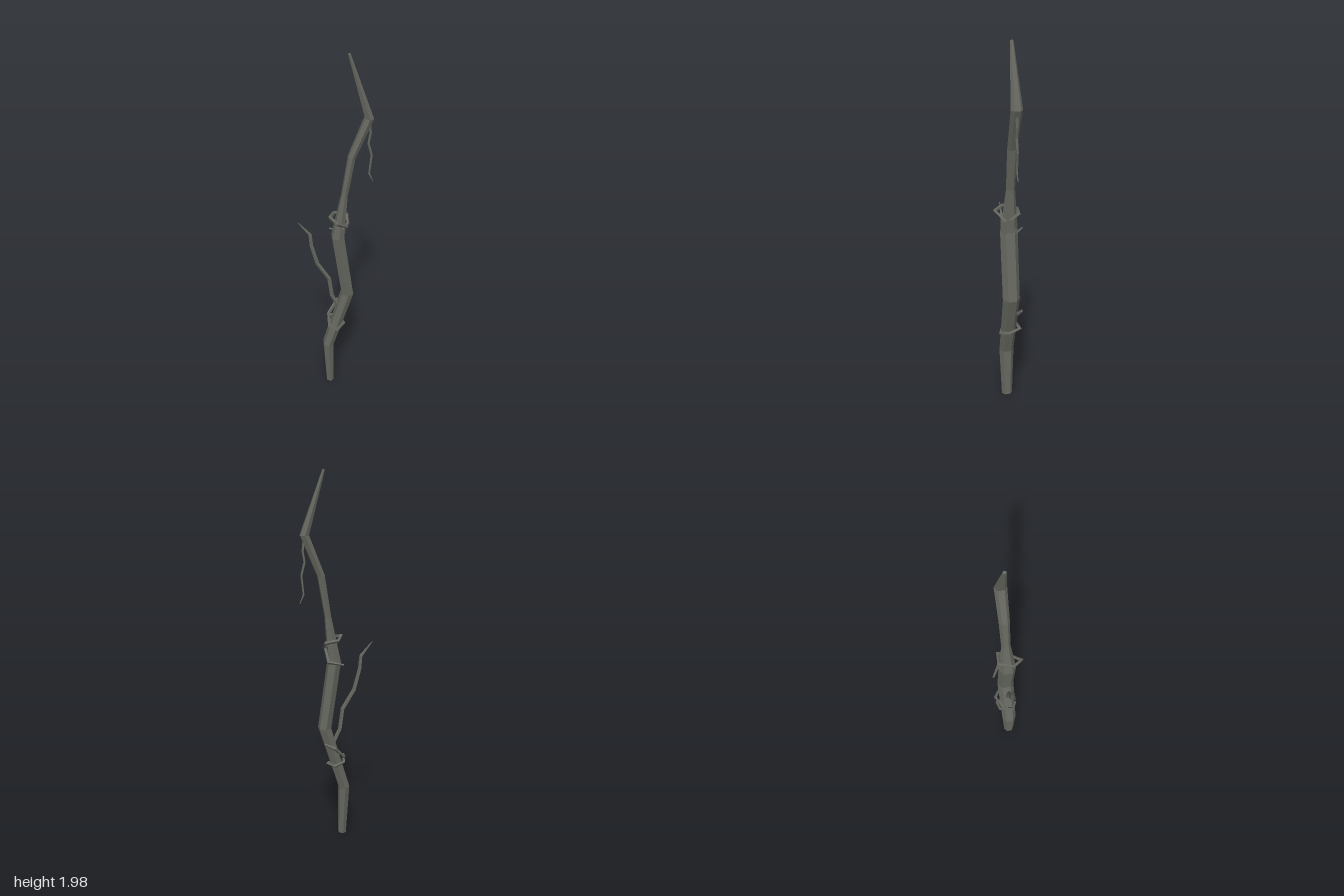
import * as THREE from 'three';

const bark = new THREE.MeshStandardMaterial({ color: 0x65675f, flatShading: true });
bark.name = 'greyBark';

// Faceted limb through points [x, y, z, radius], with mitred joints and closed ends
function limb(name, points, sides, squash = 1) {
  const p = points.map(([x, y, z]) => new THREE.Vector3(x, y, z));
  const n = p.length, pos = [], idx = [];
  const v = new THREE.Vector3(0, 0, 1);
  for (let i = 0; i < n; i++) {
    const a = p[Math.min(i + 1, n - 1)].clone().sub(p[Math.min(i, n - 2)]).normalize();
    const b = p[Math.max(i, 1)].clone().sub(p[Math.max(i - 1, 0)]).normalize();
    const t = a.clone().add(b).normalize();
    v.addScaledVector(t, -v.dot(t)).normalize();
    const u = v.clone().cross(t);
    const mitre = squash / Math.max(0.75, t.dot(a));
    for (let j = 0; j < sides; j++) {
      const ang = Math.PI / 2 + (j / sides) * Math.PI * 2;
      const q = p[i].clone()
        .addScaledVector(u, Math.cos(ang) * points[i][3] * mitre)
        .addScaledVector(v, Math.sin(ang) * points[i][3]);
      pos.push(q.x, q.y, q.z);
      if (i < n - 1) {
        const k = (j + 1) % sides, r = i * sides, s = r + sides;
        idx.push(r + j, r + k, s + k, r + j, s + k, s + j);
      }
    }
  }
  const last = (n - 1) * sides;
  for (let j = 1; j < sides - 1; j++) idx.push(0, j + 1, j, last, last + j, last + j + 1);
  const indexed = new THREE.BufferGeometry();
  indexed.setAttribute('position', new THREE.Float32BufferAttribute(pos, 3));
  indexed.setIndex(idx);
  const geometry = indexed.toNonIndexed();
  geometry.computeVertexNormals();
  const mesh = new THREE.Mesh(geometry, bark);
  mesh.name = name;
  return mesh;
}

export function createModel() {
  const group = new THREE.Group();
  group.name = 'crookedStaff';

  // Main crooked shaft, tapering to a point
  group.add(limb('shaft', [
    [-0.032, 0.015, 0, 0.03], [-0.042, 0.295, 0, 0.041], [0.065, 0.65, 0, 0.047],
    [0.012, 1.02, 0, 0.048], [0.045, 1.26, 0, 0.024], [0.08, 1.475, 0, 0.027],
    [0.163, 1.68, 0, 0.031], [0.063, 1.997, 0, 0.009],
  ], 6, 0.76));

  // Side branch growing up from the lower shaft
  group.add(limb('sideBranch', [
    [0.025, 0.54, 0, 0.01], [-0.02, 0.635, 0, 0.011], [-0.035, 0.75, 0, 0.011],
    [-0.098, 0.855, 0, 0.011], [-0.128, 0.97, 0, 0.01], [-0.134, 1.04, 0, 0.009],
    [-0.195, 1.117, 0, 0.002],
  ], 5));

  // Thin twig hanging from the upper bend
  group.add(limb('hangingTwig', [
    [0.163, 1.67, 0, 0.008], [0.172, 1.6, 0, 0.006], [0.163, 1.545, 0, 0.006],
    [0.18, 1.48, 0, 0.006], [0.17, 1.38, 0, 0.005], [0.19, 1.335, 0, 0.002],
  ], 5));

  // Vines wound loosely round the shaft
  group.add(limb('upperVine', [
    [-0.022, 1.02, -0.082, 0.005], [0.05, 1.025, -0.035, 0.009], [0.055, 1.09, 0.025, 0.009],
    [0.002, 1.135, 0.073, 0.009], [-0.032, 1.152, 0.025, 0.009], [0, 1.14, -0.045, 0.009],
    [0.065, 1.13, -0.038, 0.009], [0.065, 1.1, 0.005, 0.008], [0.03, 1.08, 0.04, 0.005],
  ], 4));
  group.add(limb('lowerVine', [
    [0.072, 0.565, -0.03, 0.005], [0.02, 0.55, -0.07, 0.009], [-0.035, 0.485, -0.03, 0.009],
    [-0.036, 0.435, 0.025, 0.009], [0.005, 0.425, 0.046, 0.009], [0.046, 0.438, 0.005, 0.009],
    [0.02, 0.445, -0.06, 0.009], [-0.03, 0.46, -0.05, 0.008], [-0.04, 0.49, -0.005, 0.005],
  ], 4));
  return group;
}
